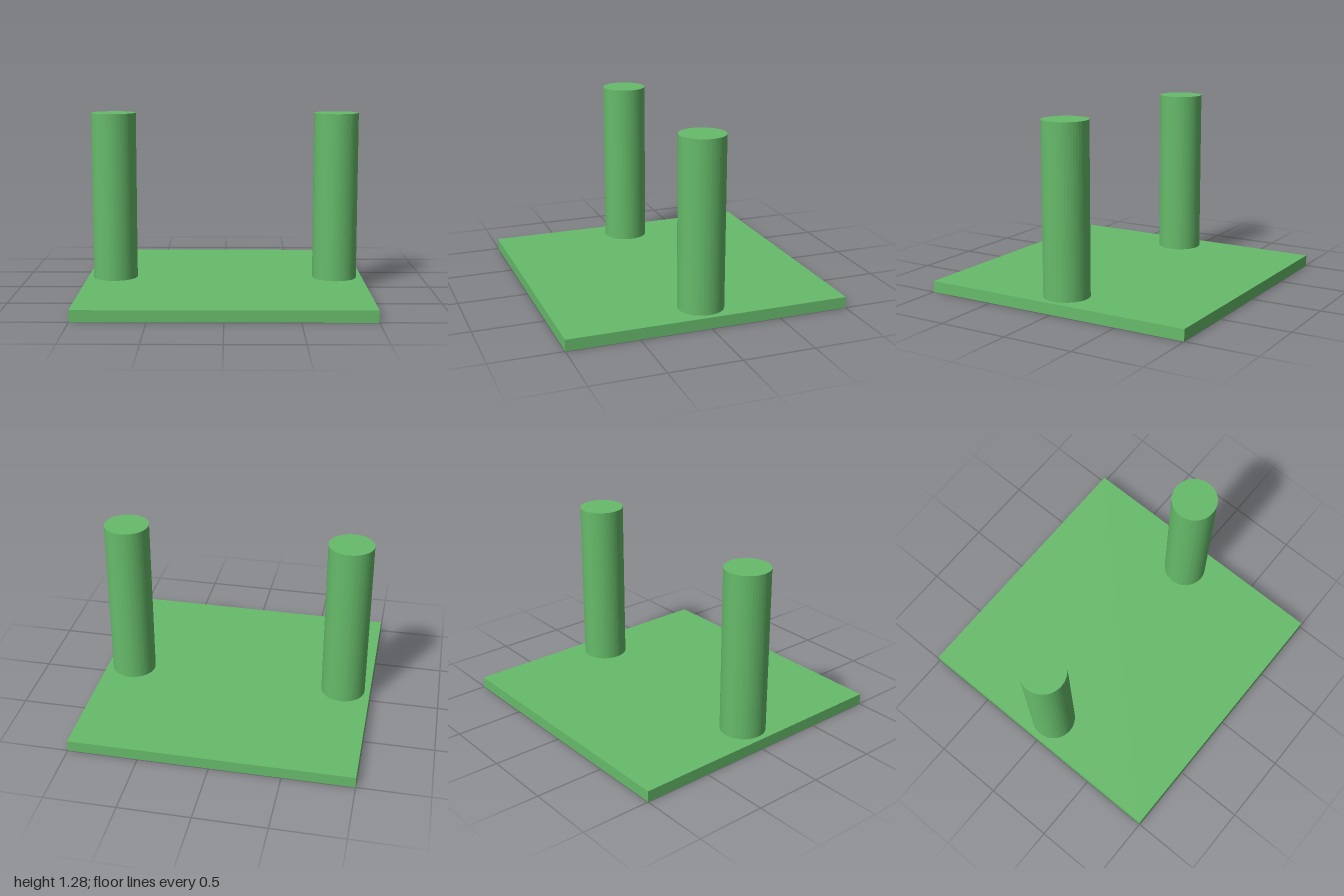
import * as THREE from 'three';

export function createModel() {
  const group = new THREE.Group();
  const green = new THREE.MeshStandardMaterial({ color: 0x66bb6a });
  const greenFaceted = new THREE.MeshStandardMaterial({ color: 0x66bb6a, flatShading: true });

  const baseHeight = 0.08;
  const pillarHeight = 1.2;

  // Square base plate
  const base = new THREE.Mesh(new THREE.BoxGeometry(2, baseHeight, 2), green);
  base.name = 'basePlate';
  base.position.y = baseHeight / 2;
  group.add(base);

  // Two matching round pillars standing on the plate
  const pillarGeometry = new THREE.CylinderGeometry(0.16, 0.16, pillarHeight, 48);
  for (const [name, side] of [['leftPillar', 1], ['rightPillar', -1]]) {
    const pillar = new THREE.Mesh(pillarGeometry, greenFaceted);
    pillar.name = name;
    pillar.position.set(side * 0.8, baseHeight + pillarHeight / 2, 0);
    group.add(pillar);
  }

  return group;
}
